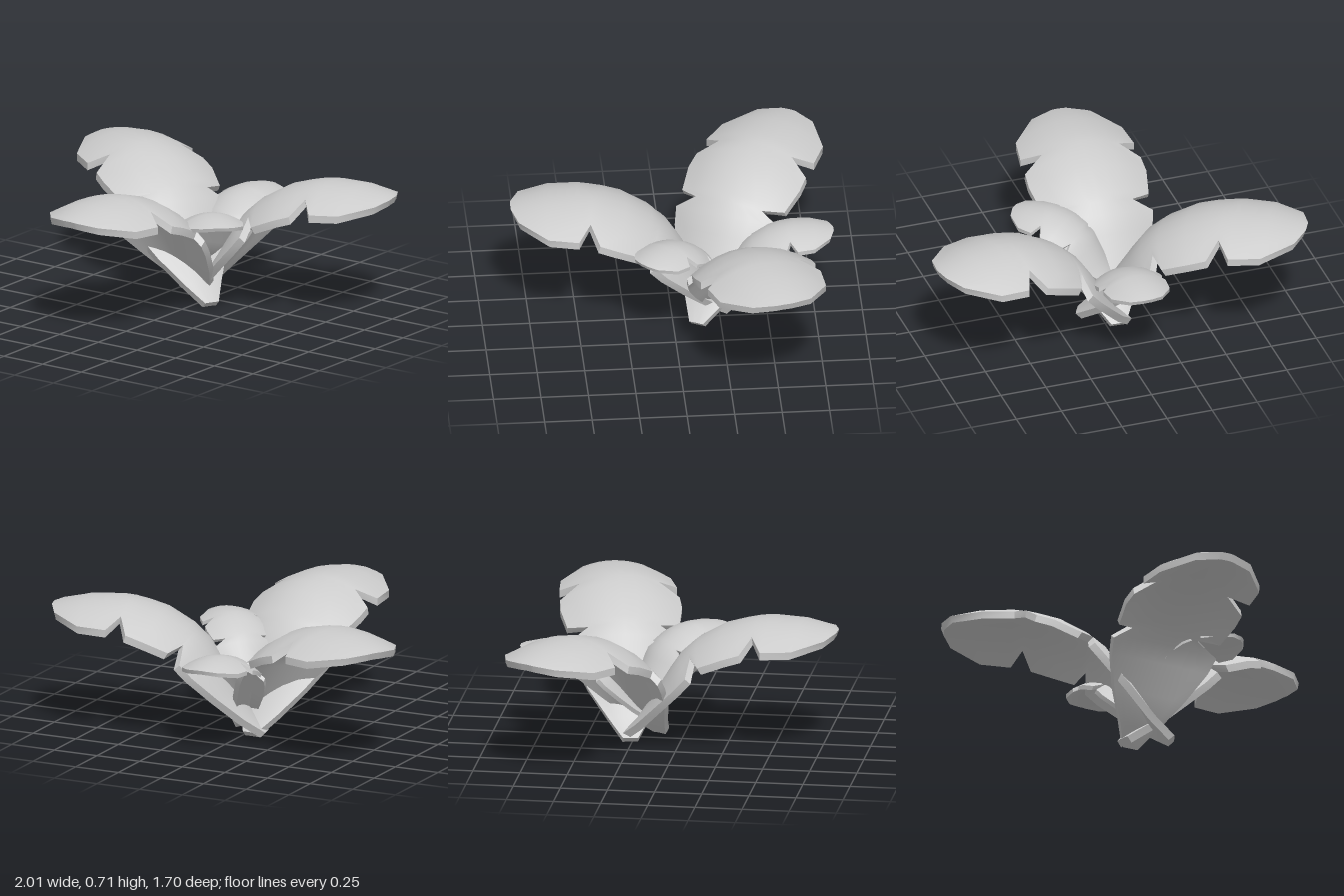
import * as THREE from 'three';
import { toCreasedNormals } from 'three/addons/utils/BufferGeometryUtils.js';

// Leaf stations: distance outward, height of the midrib, half width (dips are the notches)
const ROWS = [
  [-0.12, 0.03, 0.04], [-0.03, 0.12, 0.11], [0.06, 0.26, 0.205], [0.15, 0.41, 0.28],
  [0.21, 0.50, 0.30], [0.265, 0.55, 0.19], [0.30, 0.58, 0.295], [0.44, 0.66, 0.32],
  [0.55, 0.692, 0.315], [0.62, 0.707, 0.21], [0.69, 0.713, 0.31], [0.86, 0.705, 0.29],
  [1.01, 0.672, 0.16], [1.045, 0.66, 0.04],
];
const COLS = 8, THICK = 0.04, DROOP = 1.1;

// Thick arched blade growing along +z, its edges drooping away from the midrib
function leafGeometry() {
  const pos = [], index = [];
  const n = ROWS.length, stride = COLS + 1, layer = n * stride;
  for (const depth of [0, THICK]) {
    ROWS.forEach(([r, y, w], i) => {
      const a = ROWS[Math.max(i - 1, 0)], b = ROWS[Math.min(i + 1, n - 1)];
      const len = Math.hypot(b[0] - a[0], b[1] - a[1]);
      const ny = (b[0] - a[0]) / len, nz = -(b[1] - a[1]) / len;
      for (let j = 0; j <= COLS; j++) {
        const x = w * (2 * j / COLS - 1);
        const off = -DROOP * x * x - depth;
        pos.push(x, Math.max(y + ny * off, 0), r + nz * off);
      }
    });
  }
  const quad = (a, b, c, d) => index.push(a, b, c, a, c, d);
  const top = (i, j) => i * stride + j, low = (i, j) => layer + i * stride + j;
  for (let i = 0; i < n - 1; i++) {
    for (let j = 0; j < COLS; j++) {
      quad(top(i, j), top(i + 1, j), top(i + 1, j + 1), top(i, j + 1));
      quad(low(i, j), low(i, j + 1), low(i + 1, j + 1), low(i + 1, j));
    }
    // Side rims
    quad(top(i, 0), low(i, 0), low(i + 1, 0), top(i + 1, 0));
    quad(top(i, COLS), top(i + 1, COLS), low(i + 1, COLS), low(i, COLS));
  }
  // Root and tip rims
  for (let j = 0; j < COLS; j++) {
    quad(top(0, j), top(0, j + 1), low(0, j + 1), low(0, j));
    quad(top(n - 1, j), low(n - 1, j), low(n - 1, j + 1), top(n - 1, j + 1));
  }
  const geo = new THREE.BufferGeometry();
  geo.setAttribute('position', new THREE.Float32BufferAttribute(pos, 3));
  geo.setIndex(index);
  return toCreasedNormals(geo, 0.7);
}

export function createModel() {
  const group = new THREE.Group();
  const geo = leafGeometry();
  const mat = new THREE.MeshStandardMaterial({ color: 0xcccccc, side: THREE.DoubleSide });

  // Name, root position, heading (x, z), scale (width, height, length)
  const leaves = [
    ['frontLeaf', [-0.06, 0, -0.20], [-0.06, 1.04], [1, 1, 1]],
    ['rightLeaf', [0.0, 0, -0.175], [-0.93, -0.49], [0.99, 1, 1.05]],
    ['leftLeaf', [-0.01, 0, -0.28], [1.0, -0.23], [1, 1, 0.99]],
    ['smallBackLeaf', [-0.02, 0.11, -0.25], [-0.02, -1], [0.56, 0.575, 0.575]],
    ['smallFrontLeaf', [-0.01, 0.21, -0.21], [0.69, 0.73], [0.52, 0.51, 0.51]],
  ];
  for (const [name, root, [hx, hz], scale] of leaves) {
    const leaf = new THREE.Mesh(geo, mat);
    leaf.name = name;
    leaf.position.set(...root);
    leaf.rotation.y = Math.atan2(hx, hz);
    leaf.scale.set(...scale);
    group.add(leaf);
  }
  return group;
}
